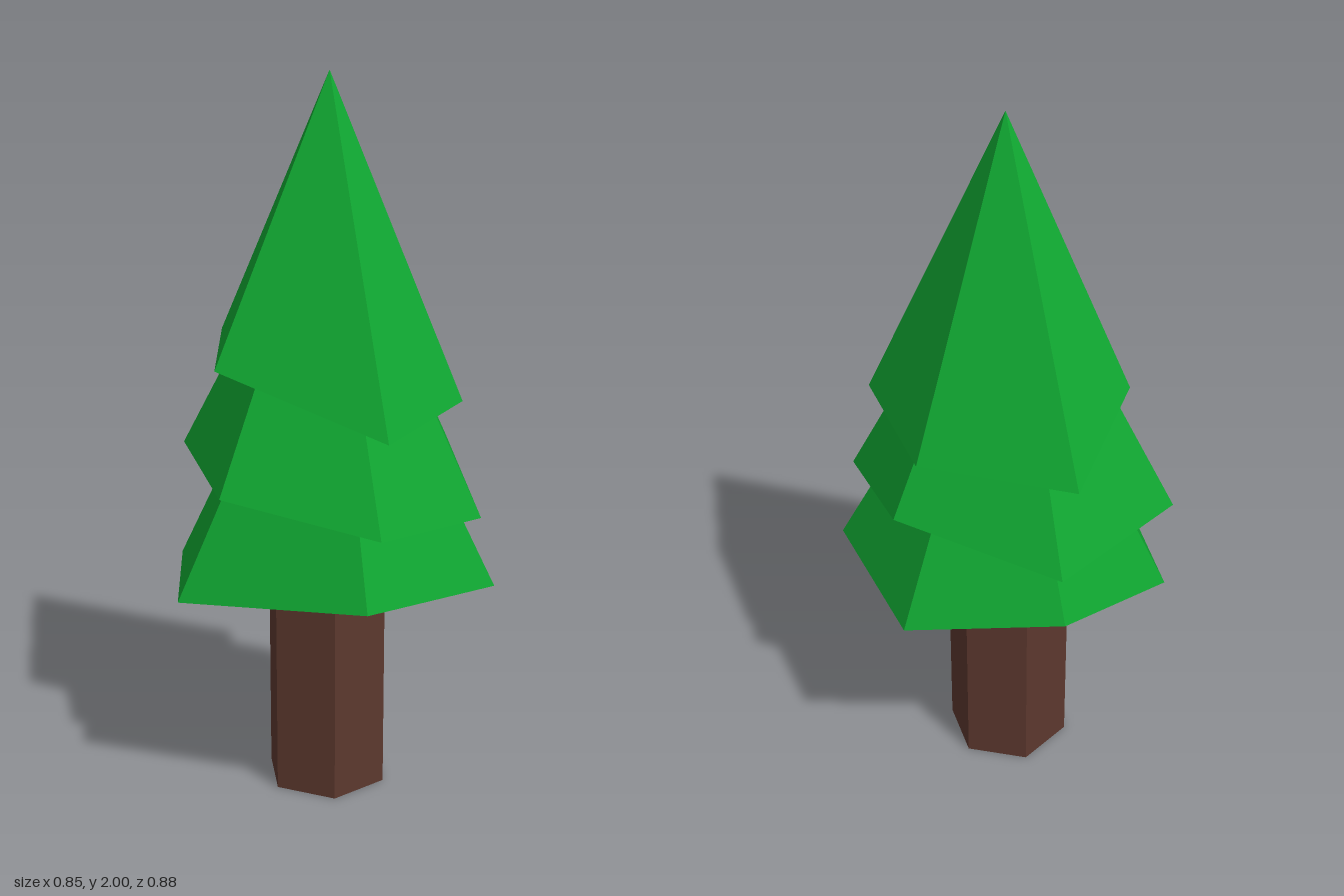
import * as THREE from 'three';

const foliage = new THREE.MeshStandardMaterial({ color: 0x10a531, flatShading: true });
foliage.name = 'leaf green';
const bark = new THREE.MeshStandardMaterial({ color: 0x5c382e, flatShading: true });
bark.name = 'bark brown';

// Closed irregular cone: an apex, a jittered rim (counterclockwise from above) and an underside
function tierGeometry(apex, rim) {
  const centre = [0, 1, 2].map(k => rim.reduce((sum, p) => sum + p[k], 0) / rim.length);
  const positions = [];
  rim.forEach((p, i) => {
    const next = rim[(i + 1) % rim.length];
    positions.push(...apex, ...p, ...next);
    positions.push(...centre, ...next, ...p);
  });
  const geometry = new THREE.BufferGeometry();
  geometry.setAttribute('position', new THREE.Float32BufferAttribute(positions, 3));
  geometry.computeVertexNormals();
  return geometry;
}

// Rims start at the front corner and run round by way of +x
const tiers = [
  {
    name: 'lowerBranches', apex: [0.01, 1.55, -0.005],
    rim: [[0.05, 0.66, 0.41], [0.425, 0.65, 0.23], [0.37, 0.65, -0.25],
      [-0.03, 0.695, -0.415], [-0.39, 0.615, -0.235], [-0.425, 0.62, 0.16]],
  },
  {
    name: 'middleBranches', apex: [0, 1.75, -0.01],
    rim: [[0.08, 0.87, 0.435], [0.375, 0.86, 0.265], [0.365, 0.96, -0.165],
      [-0.01, 0.87, -0.44], [-0.375, 0.93, -0.29], [-0.315, 0.94, 0.255]],
  },
  {
    name: 'upperBranches', apex: [0.01, 2, -0.02],
    rim: [[0.1, 1.12, 0.415], [0.335, 1.16, 0.185], [0.31, 1.15, -0.21],
      [-0.06, 1.12, -0.41], [-0.265, 1.28, -0.215], [-0.315, 1.26, 0.17]],
  },
];

export function createModel() {
  const tree = new THREE.Group();
  tree.name = 'pineTree';

  // Six-sided trunk, running a little way into the lowest branches
  const trunk = new THREE.Mesh(new THREE.CylinderGeometry(0.175, 0.175, 0.72, 6), bark);
  trunk.name = 'trunk';
  trunk.position.set(0, 0.36, -0.01);
  tree.add(trunk);

  // Three overlapping tiers of branches
  for (const { name, apex, rim } of tiers) {
    const tier = new THREE.Mesh(tierGeometry(apex, rim), foliage);
    tier.name = name;
    tree.add(tier);
  }
  return tree;
}
